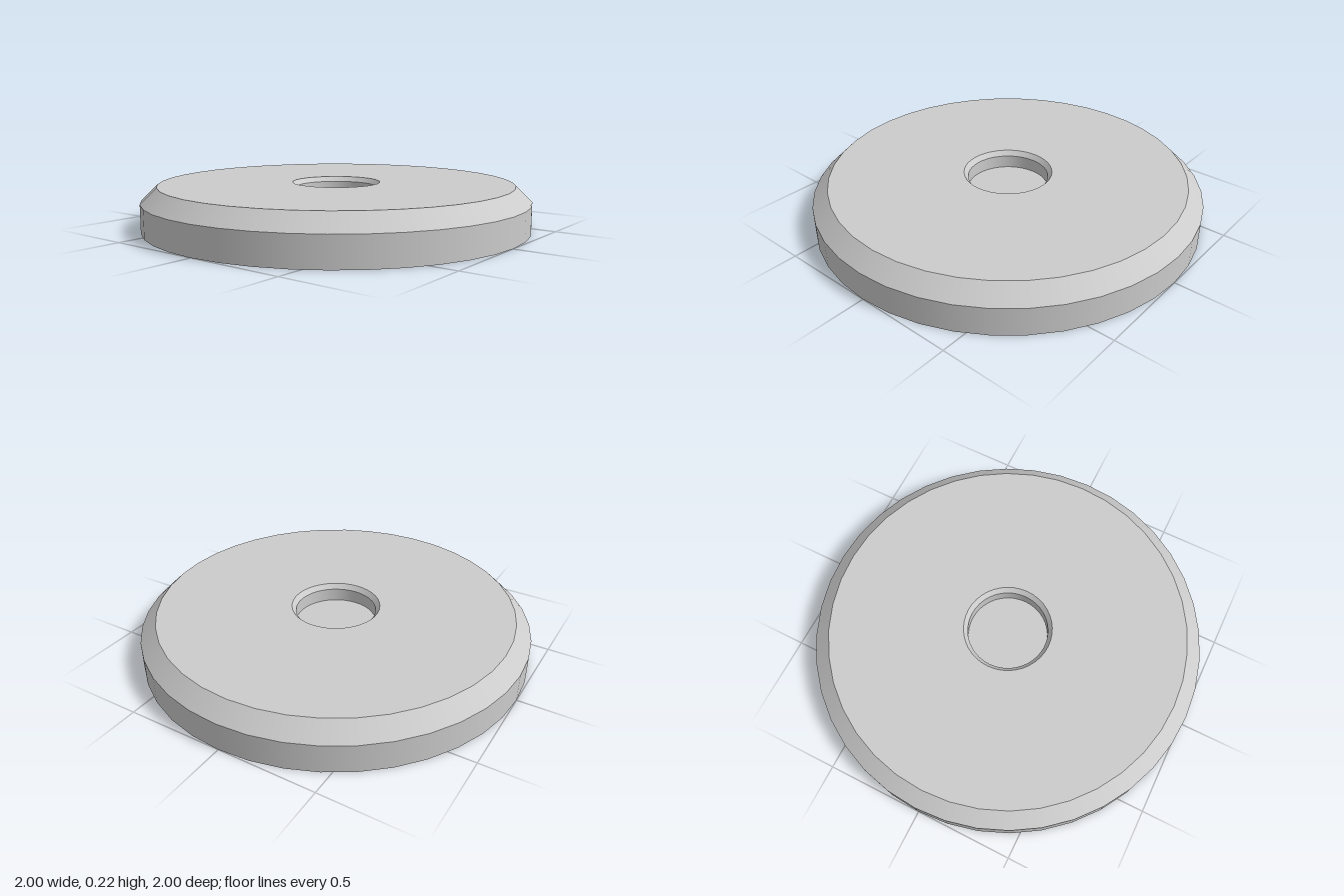
import * as THREE from 'three';

const SIDES = 40;

export function createModel() {
  const group = new THREE.Group();
  group.name = 'recessedDisc';
  const material = new THREE.MeshStandardMaterial({ color: 0xcccccc });

  // Profile corners (radius, height), from the base centre round to the recess centre
  const corners = [
    [0, 0], [1, 0], [1, 0.145], [0.918, 0.224],
    [0.228, 0.224], [0.207, 0.199], [0.207, 0.132], [0, 0.132],
  ].map(([r, y]) => new THREE.Vector2(r, y));

  const names = [
    'base', 'outerWall', 'outerChamfer', 'topFace',
    'recessChamfer', 'recessWall', 'recessFloor',
  ];

  // One lathed band per profile edge: smooth around, crisp between bands
  names.forEach((name, i) => {
    const band = new THREE.LatheGeometry([corners[i], corners[i + 1]], SIDES);
    const mesh = new THREE.Mesh(band, material);
    mesh.name = name;
    group.add(mesh);
  });

  return group;
}
